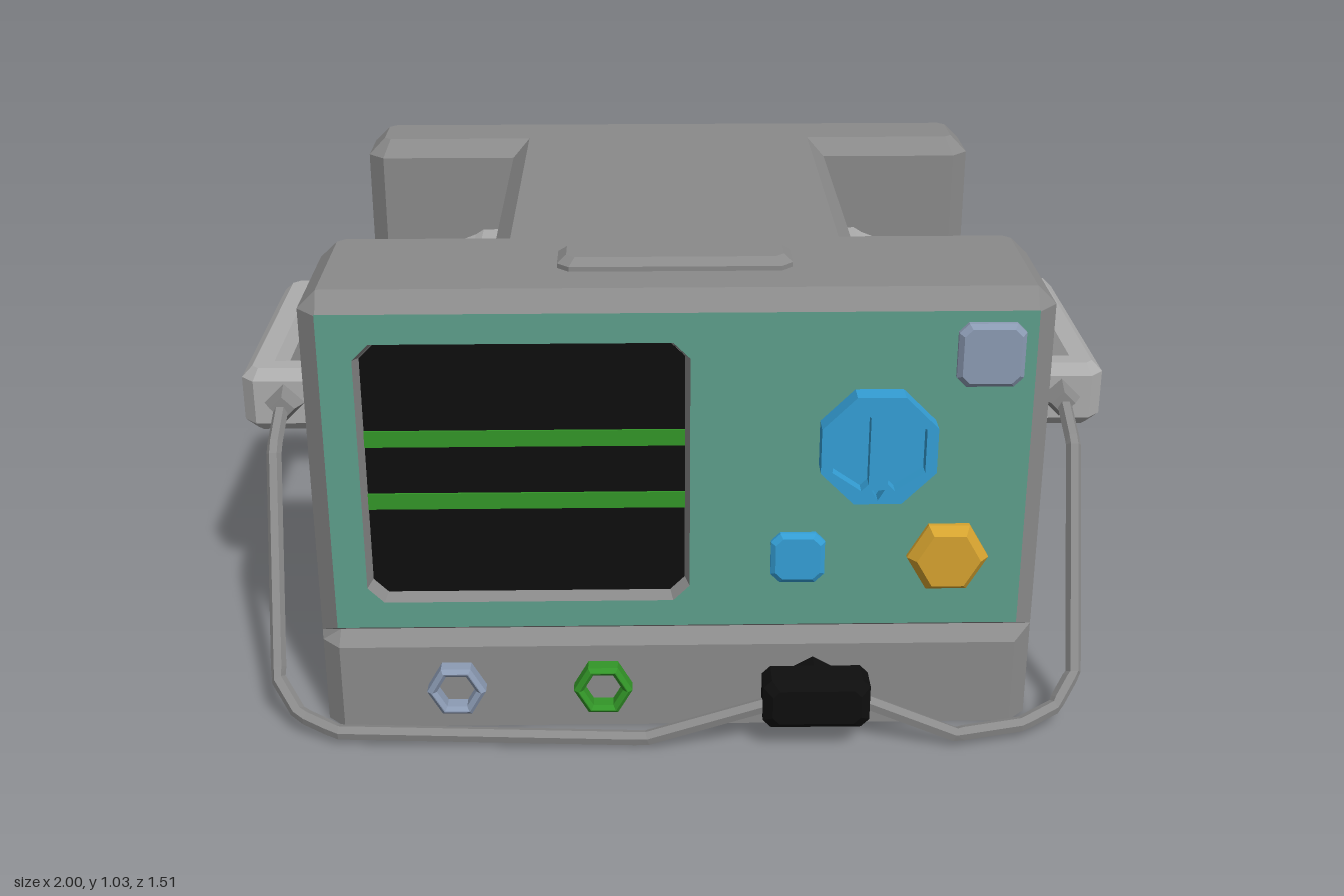
import * as THREE from 'three';

const mat = (name, color) => Object.assign(new THREE.MeshStandardMaterial({ color }), { name });

// Faceted normals
function flat(geo) {
  const g = geo.index ? geo.toNonIndexed() : geo;
  g.computeVertexNormals();
  return g;
}

// Skin counter-clockwise 2D rings stacked along +z: [{ z, pts: [[x, y], ...] }]
function loft(rings, capStart = true, capEnd = true) {
  const n = rings[0].pts.length, pos = [], idx = [];
  rings.forEach(r => r.pts.forEach(([x, y]) => pos.push(x, y, r.z)));
  for (let k = 0; k < rings.length - 1; k++) {
    for (let i = 0; i < n; i++) {
      const a = k * n + i, b = k * n + (i + 1) % n;
      idx.push(a, b, b + n, a, b + n, a + n);
    }
  }
  const cap = (k, flip) => {
    const v = rings[k].pts.map(p => new THREE.Vector2(...p));
    THREE.ShapeUtils.triangulateShape(v, []).forEach(([a, b, c]) =>
      idx.push(k * n + a, k * n + (flip ? c : b), k * n + (flip ? b : c)));
  };
  if (capStart) cap(0, true);
  if (capEnd) cap(rings.length - 1, false);
  const g = new THREE.BufferGeometry();
  g.setAttribute('position', new THREE.Float32BufferAttribute(pos, 3));
  g.setIndex(idx);
  return flat(g);
}

// Rectangle with cut corners, half sizes w and h
const cutRect = (w, h, c, cx = 0, cy = 0) => [
  [-w + c, -h], [w - c, -h], [w, -h + c], [w, h - c], [w - c, h], [-w + c, h], [-w, h - c], [-w, -h + c],
].map(([x, y]) => [x + cx, y + cy]);

const polygon = (n, r, turn = 0) => Array.from({ length: n }, (_, i) => {
  const a = turn + i * 2 * Math.PI / n;
  return [r * Math.cos(a), r * Math.sin(a)];
});
const vecs = pts => pts.map(p => new THREE.Vector2(...p));
const mirrorX = right => [...right, ...right.map(([x, y]) => [-x, y]).reverse()];

export function createModel() {
  const casing = mat('casing grey', 0x8a8a8a), light = mat('light grey', 0xacacac);
  const teal = mat('panel teal', 0x5e9f8b), black = mat('black', 0x0e0e0e);
  const green = mat('green', 0x339628), blue = mat('blue', 0x349fd6);
  const yellow = mat('yellow', 0xd6a32f), slate = mat('slate blue', 0x8c9bb4);

  const model = new THREE.Group();
  model.name = 'monitor';
  const add = (name, geo, material, x = 0, y = 0, z = 0, parent = model) => {
    const m = new THREE.Mesh(geo, material);
    m.name = name;
    m.position.set(x, y, z);
    parent.add(m);
    return m;
  };
  const upright = g => g.rotateX(-Math.PI / 2);
  const F = 0.628, G = 0.588; // front face and groove depth

  // Lower casing, with the groove across the front
  const baseRing = (z, f) => ({
    z, pts: mirrorX([[0.735, -f], [0.775, -G], [0.775, 0.71], [0.735, 0.75]]),
  });
  add('lowerCasing', upright(loft([baseRing(0, F), baseRing(0.2, F), baseRing(0.225, G), baseRing(0.33, G)])), casing);

  // Upper casing with a bay cut into each side
  const bayRing = (z, i) => {
    const c = 0.04 - 0.586 * i, x = 0.775 - i, b = 0.75 - i;
    return {
      z, pts: mirrorX([
        [x, -G], [x, -0.22 - i - c], [x - c, -0.22 - i], [0.4 - i, -0.22 - i],
        [0.4 - i, 0.53 + i], [x - c, 0.53 + i], [x, 0.53 + i + c], [x, b - c], [x - c, b],
      ]),
    };
  };
  add('upperCasing', upright(loft([bayRing(0.33, 0), bayRing(0.97, 0), bayRing(1.01, 0.04)], false)), casing);
  const floorPts = [[0.39, 0.33], [0.775, 0.33], [0.735, 0.37], [0.39, 0.37]];
  for (const s of [1, -1]) {
    const pts = s > 0 ? floorPts : floorPts.map(([x, y]) => [-x, y]).reverse();
    add('bayFloor', loft([{ z: -0.57, pts }, { z: 0.26, pts }]), casing);
  }

  // Front bevel, panel and sunken screen
  add('frontBevel', loft([
    { z: G, pts: mirrorX([[0.775, 0.225], [0.775, 0.97], [0.735, 1.01]]) },
    { z: F, pts: mirrorX([[0.735, 0.25], [0.735, 0.968], [0.733, 0.97]]) },
  ], false, false), casing);
  const hole = cutRect(0.345, 0.297, 0.035, -0.32, 0.608);
  const glass = cutRect(0.335, 0.287, 0.031, -0.32, 0.608);
  const panel = new THREE.Shape(vecs(mirrorX([[0.735, 0.25], [0.735, 0.97]])));
  panel.holes.push(new THREE.Path(vecs(hole)));
  add('frontPanel', new THREE.ShapeGeometry(panel), teal, 0, 0, F);
  add('screenBezel', loft([
    { z: 0.594, pts: [...glass].reverse() }, { z: F, pts: [...hole].reverse() },
  ], false, false), casing);
  add('screen', new THREE.ShapeGeometry(new THREE.Shape(vecs(glass))), black, 0, 0, 0.596);
  for (const y of [0.682, 0.538]) add('screenLine', new THREE.BoxGeometry(0.67, 0.036, 0.006), green, -0.32, y, 0.598);

  // Buttons
  const button = (name, m, x, y, half, depth) => add(name, loft([
    { z: -0.01, pts: cutRect(half, half, 0.02) }, { z: depth * 0.5, pts: cutRect(half, half, 0.02) },
    { z: depth, pts: cutRect(half - 0.01, half - 0.01, 0.016) },
  ]), m, x, y, F);
  button('powerButton', slate, 0.64, 0.877, 0.069, 0.02);
  button('blueButton', blue, 0.255, 0.415, 0.058, 0.016);
  add('hexButton', loft([
    { z: -0.01, pts: polygon(6, 0.087) }, { z: 0.01, pts: polygon(6, 0.087) }, { z: 0.032, pts: polygon(6, 0.068) },
  ]), yellow, 0.575, 0.415, F);

  // Dial with a pocket on each side of its grip
  const dial = new THREE.Shape(vecs(polygon(8, 0.13, Math.PI / 8)));
  const pocket = [[0.096, 0.048], [0.035, 0.09], [0.02, 0.075], [0.02, -0.075], [0.035, -0.09], [0.096, -0.048]];
  for (const s of [1, -1]) dial.holes.push(new THREE.Path(vecs(pocket.map(([x, y]) => [s * x, y]))));
  dial.holes.push(new THREE.Path(vecs([[-0.014, -0.088], [0.014, -0.088], [0, -0.112]])));
  add('dial', flat(new THREE.ExtrudeGeometry(dial, { depth: 0.03, bevelEnabled: false })), blue, 0.415, 0.68, F + 0.017);
  const dialBase = polygon(8, 0.13, Math.PI / 8);
  add('dialBase', loft([{ z: -0.01, pts: dialBase }, { z: 0.017, pts: dialBase }]), blue, 0.415, 0.68, F);

  // Hexagonal sockets
  for (const [x, m, name] of [[-0.482, slate, 'greySocket'], [-0.163, green, 'greenSocket']]) {
    const ring = new THREE.Shape(vecs(polygon(6, 0.064)));
    ring.holes.push(new THREE.Path(vecs(polygon(6, 0.043))));
    add(name, flat(new THREE.ExtrudeGeometry(ring, {
      depth: 0.03, bevelSize: 0.008, bevelThickness: 0.008, bevelOffset: -0.008, bevelSegments: 1,
    })), m, x, 0.107, F + 0.002);
  }

  // Raised pad on top
  add('topPad', upright(loft([
    { z: 0, pts: cutRect(0.247, 0.066, 0.025) }, { z: 0.012, pts: cutRect(0.247, 0.066, 0.025) },
    { z: 0.027, pts: cutRect(0.228, 0.046, 0.018) },
  ])), casing, -0.003, 1.008, 0.42);

  // Paddles: plate with a tapered back and a loop handle
  for (const side of ['left', 'right']) {
    const paddle = new THREE.Group();
    paddle.name = side + 'Paddle';
    paddle.position.set(0, 0.582, -0.16);
    paddle.rotation.y = side === 'left' ? 0 : Math.PI;
    model.add(paddle);
    const sections = [[0.4, 0.35, 0.19], [0.42, 0.37, 0.21], [0.48, 0.37, 0.21], [0.5, 0.36, 0.2], [0.65, 0.33, 0.15], [0.73, 0.3, 0.075]];
    add('paddlePlate', loft(sections.map(([z, w, h]) => ({ z, pts: cutRect(w, h, 0.045) }))).rotateY(Math.PI / 2), light, 0, 0, 0, paddle);
    const loop = new THREE.Shape(vecs([[0.6, -0.328], [0.97, -0.328], [1, -0.298], [1, 0.298], [0.97, 0.328], [0.6, 0.328]]));
    loop.holes.push(new THREE.Path(vecs([[0.68, -0.235], [0.905, -0.235], [0.905, 0.235], [0.68, 0.235]])));
    const handle = new THREE.ExtrudeGeometry(loop, {
      depth: 0.105, bevelSize: 0.024, bevelThickness: 0.024, bevelOffset: -0.024, bevelSegments: 1,
    });
    add('paddleHandle', flat(upright(handle.translate(0, 0, -0.0525))), light, 0, 0.003, 0, paddle);
  }
  for (const s of [1, -1]) {
    add('handleScrew', flat(new THREE.CylinderGeometry(0.038, 0.03, 0.03, 6).rotateX(Math.PI / 2)), yellow, s * 0.9, 0.585, -0.498);
    add('cableCollar', flat(new THREE.CylinderGeometry(0.028, 0.048, 0.04, 4).rotateX(Math.PI / 2)), casing, s * 0.9, 0.585, 0.185);
  }

  // Cables running from the paddles to the connector
  const cables = {
    right: [[-0.905, 0.58, 0.19], [-0.905, 0.53, 0.31], [-0.88, 0.1, 0.59], [-0.83, 0.045, 0.645], [-0.74, 0.027, 0.69], [-0.07, 0.02, 0.715], [0.2, 0.105, 0.715]],
    left: [[0.905, 0.58, 0.19], [0.905, 0.53, 0.31], [0.88, 0.1, 0.59], [0.83, 0.045, 0.645], [0.75, 0.03, 0.69], [0.6, 0.025, 0.72], [0.39, 0.11, 0.71]],
  };
  for (const [side, pts] of Object.entries(cables)) {
    const path = new THREE.CatmullRomCurve3(pts.map(p => new THREE.Vector3(...p)), false, 'catmullrom', 0);
    add(side + 'Cable', flat(new THREE.TubeGeometry(path, 64, 0.017, 6)), casing);
  }

  // Cable connector
  add('connector', loft([
    { z: -0.05, pts: cutRect(0.1, 0.045, 0.015) }, { z: -0.03, pts: cutRect(0.115, 0.058, 0.018) },
    { z: 0.03, pts: cutRect(0.115, 0.058, 0.018) }, { z: 0.048, pts: cutRect(0.095, 0.04, 0.015) },
  ]), black, 0.295, 0.118, 0.71);
  add('connectorPlug', flat(new THREE.CylinderGeometry(0.05, 0.05, 0.06, 6).rotateX(Math.PI / 2)), black, 0.295, 0.118, 0.645);
  return model;
}
